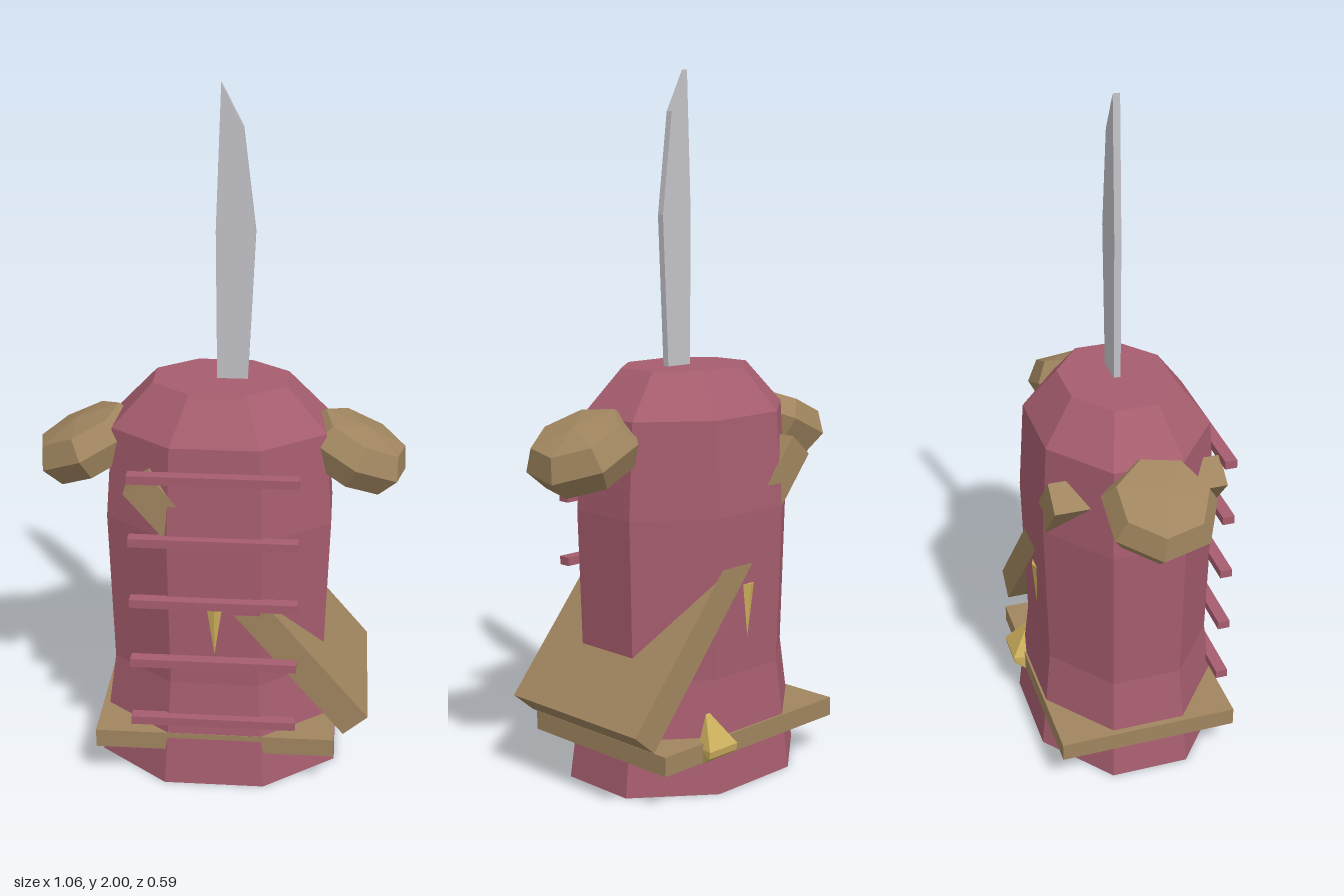
import * as THREE from 'three';
import { ConvexGeometry } from 'three/addons/geometries/ConvexGeometry.js';

const flat = (name, color) => {
  const m = new THREE.MeshStandardMaterial({ color, flatShading: true });
  m.name = name;
  return m;
};

export function createModel() {
  const model = new THREE.Group();
  const red = flat('dustyRed', 0xa65d6e);
  const tan = flat('tanLeather', 0xa0855f);
  const gold = flat('gold', 0xcbae5c);
  const steel = flat('steel', 0xc2c2c8);

  const add = (name, geometry, material, x = 0, y = 0, z = 0) => {
    const mesh = new THREE.Mesh(geometry, material);
    mesh.name = name;
    mesh.position.set(x, y, z);
    model.add(mesh);
    return mesh;
  };
  // Faceted solid turned from [radius, height] pairs, bottom to top
  const turned = (points, sides, start = 0) => new THREE.LatheGeometry(
    points.map(([r, y]) => new THREE.Vector2(r, y)), sides, start).toNonIndexed();

  // Eight-sided body, flattened front to back; radii measured to the flats
  const k = 1 / Math.cos(Math.PI / 8);
  const profile = [[0, 0], [0.35, 0], [0.308, 0.32], [0.322, 0.78], [0.303, 1.05], [0.19, 1.175], [0, 1.175]];
  add('body', turned(profile.map(([r, y]) => [r * k, y]), 8, Math.PI / 8), red, 0, 0, 0.01).scale.z = 0.8;

  // Blade rising from the top
  const outline = [[-0.011, 1.1], [0.072, 1.1], [0.076, 1.2], [0.095, 1.6], [0.06, 1.885], [0, 2], [-0.015, 1.6]];
  const shape = new THREE.Shape(outline.map(([x, y]) => new THREE.Vector2(x, y)));
  add('blade', new THREE.ExtrudeGeometry(shape, { depth: 0.02, bevelEnabled: false }), steel, 0, 0, 0.001);

  // Seven-sided shoulder pads, tilted outward
  const pad = turned([[0, -0.08], [0.132, -0.066], [0.165, 0], [0.13, 0.063], [0, 0.08]], 7);
  for (const side of [-1, 1]) {
    add(side > 0 ? 'leftShoulderPad' : 'rightShoulderPad', pad, tan, side * 0.386, 0.968, 0.015)
      .rotation.z = -side * 0.436;
  }

  // Square belt and a diagonal sash passing through the body
  add('belt', new THREE.BoxGeometry(0.696, 0.055, 0.535), tan, 0, 0.132, 0.0075);
  add('sash', new THREE.BoxGeometry(0.97, 0.092, 0.506), tan, 0.095, 0.574, 0.009).rotation.z = -0.867;

  // Lacing bars down the front
  for (let i = 0; i < 5; i++) {
    add('lacingBar', new THREE.BoxGeometry(0.474, 0.025, 0.036), red, -0.002, 0.21 + i * 0.19, 0.276);
  }

  // Slim spikes pointing down, front and back
  const spike = new THREE.ConeGeometry(0.034, 0.165, 4).rotateX(Math.PI);
  add('frontSpike', spike, gold, 0, 0.4925, 0.258).scale.z = 0.4;
  add('backSpike', spike, gold, 0, 0.4925, -0.238).scale.z = 0.4;

  // Wedge-shaped buckle at the back of the belt
  const wedge = [
    [0.15, 0.23, -0.235], [0.165, 0.23, -0.235],
    [0.1, 0.145, -0.295], [0.21, 0.145, -0.295],
    [0.1, 0.125, -0.292], [0.21, 0.125, -0.292],
    [0.09, 0.1, -0.255], [0.2, 0.1, -0.255],
    [0.09, 0.145, -0.24], [0.2, 0.145, -0.24],
  ].map((p) => new THREE.Vector3(...p));
  add('backBuckle', new ConvexGeometry(wedge), gold);

  return model;
}
